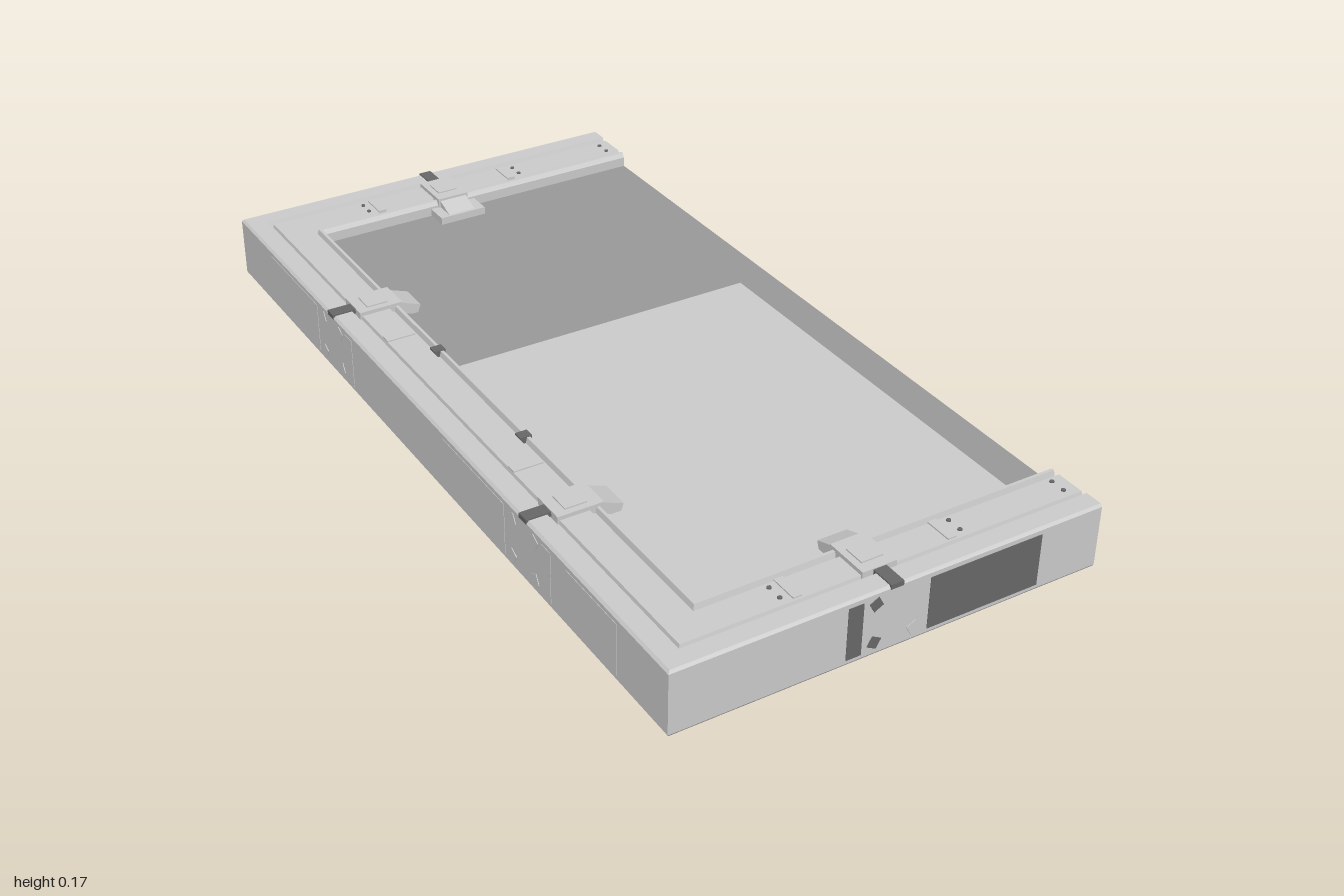
import * as THREE from 'three';

const paint = (color = 0xcccccc) => new THREE.MeshStandardMaterial({ color, flatShading: true, side: THREE.DoubleSide });
const grey = paint();
const shade = paint(0x999999);
const dark = paint(0x686868);

function add(parent, name, geometry, material, x = 0, y = 0, z = 0) {
  const mesh = new THREE.Mesh(geometry, material);
  mesh.name = name;
  mesh.position.set(x, y, z);
  parent.add(mesh);
  return mesh;
}
// Box given by its limits on each axis
const box = (parent, name, material, [x0, x1], [y0, y1], [z0, z1]) =>
  add(parent, name, new THREE.BoxGeometry(x1 - x0, y1 - y0, z1 - z0), material, (x0 + x1) / 2, (y0 + y1) / 2, (z0 + z1) / 2);

// Mitred three-sided rail: section points are [inward offset, height]
function railGeometry(section) {
  const stations = [[0.5, 1, 0, -1], [-0.5, 1, 1, -1], [-0.5, -1, 1, 1], [0.5, -1, 0, 1]];
  const rings = stations.map(([x, z, dx, dz]) => section.map(([d, y]) => [x + dx * d, y, z + dz * d]));
  const pos = [];
  const n = section.length;
  for (let s = 0; s < 3; s++) {
    for (let i = 0; i < n; i++) {
      const j = (i + 1) % n;
      const [a, b, c, d] = [rings[s][i], rings[s][j], rings[s + 1][j], rings[s + 1][i]];
      pos.push(...a, ...b, ...c, ...a, ...c, ...d);
    }
  }
  const caps = THREE.ShapeUtils.triangulateShape(section.map(p => new THREE.Vector2(...p)), []);
  for (const [a, b, c] of caps) {
    pos.push(...rings[0][a], ...rings[0][b], ...rings[0][c]);
    pos.push(...rings[3][a], ...rings[3][c], ...rings[3][b]);
  }
  const g = new THREE.BufferGeometry();
  g.setAttribute('position', new THREE.Float32BufferAttribute(pos, 3));
  g.computeVertexNormals();
  return g;
}

// Latch station: local +z points out of the rail, origin on its outer face
function latch(name, x, z, turn, side, labelMaterial) {
  const g = new THREE.Group();
  g.name = name;
  g.position.set(x, 0, z);
  g.rotation.y = turn;
  box(g, 'latchBody', grey, [-0.04, 0.04], [0.13, 0.163], [-0.16, -0.055]);
  box(g, 'latchStrap', dark, [-0.015, 0.015], [0.15, 0.161], [-0.055, 0.001]);
  box(g, 'latchRidge', grey, [-0.025, 0.025], [0.16, 0.166], [-0.13, -0.08]);
  const hook = box(g, 'latchHook', grey, [-0.035, 0.035], [0.125, 0.15], [-0.205, -0.15]);
  hook.rotation.x = -0.35;
  // Label plate and narrow strip on the outer face
  const span = (a, b) => [a * side, b * side].sort((p, q) => p - q);
  box(g, 'labelPlate', labelMaterial, span(0.08, 0.35), [0.02, 0.142], [-0.002, 0.001]);
  box(g, 'labelStrip', labelMaterial, span(-0.11, -0.075), [0.02, 0.142], [-0.002, 0.001]);
  // Four twisted square bolts
  for (const sx of [-1, 1]) {
    for (const y of [0.038, 0.128]) {
      const bolt = add(g, 'bolt', new THREE.BoxGeometry(0.024, 0.024, 0.003), sx === -side ? labelMaterial : grey, sx * 0.046, y, 0);
      bolt.rotation.z = (y < 0.1 ? -1 : 1) * sx * -0.5;
    }
  }
  return g;
}

export function createModel() {
  const model = new THREE.Group();
  model.name = 'openFrameTray';

  // Rail with a stepped, grooved top
  const section = [
    [0.004, 0.006], [0, 0.012], [0, 0.152], [0.005, 0.158], [0.046, 0.158], [0.05, 0.146], [0.058, 0.146],
    [0.06, 0.154], [0.128, 0.154], [0.132, 0.143], [0.14, 0.143], [0.143, 0.156], [0.15, 0.156],
    [0.156, 0.145], [0.156, 0.006], [0.15, 0], [0.055, 0], [0.05, 0.006],
  ];
  add(model, 'rail', railGeometry(section), grey);

  // Thin floor sheet, lighter overlay, and quartered underside
  const sheet = (name, mat, x0, x1, z0, z1, y, down) => {
    const m = add(model, name, new THREE.PlaneGeometry(x1 - x0, z1 - z0), mat, (x0 + x1) / 2, y, (z0 + z1) / 2);
    m.rotation.x = down ? Math.PI / 2 : -Math.PI / 2;
  };
  sheet('floorSheet', shade, -0.35, 0.5, -0.85, 0.85, 0.121, false);
  sheet('floorOverlay', grey, -0.35, 0.415, -0.16, 0.84, 0.123, false);
  for (const [x0, x1] of [[-0.35, 0], [0, 0.5]]) {
    for (const [z0, z1] of [[-0.85, 0], [0, 0.85]]) {
      sheet('floorUnderside', (x0 < 0) === (z0 < 0) ? grey : dark, x0, x1, z0, z1, 0.119, true);
    }
  }

  // Latches on the three rails
  model.add(latch('frontLatch', 0, 1, 0, 1, dark));
  model.add(latch('backLatch', 0, -1, Math.PI, -1, grey));
  for (const z of [-0.46, 0.46]) model.add(latch('sideLatch', -0.5, z, -Math.PI / 2, -1, grey));
  box(model, 'sideLabel', grey, [-0.501, -0.498], [0.02, 0.142], [0.63, 0.82]);
  box(model, 'latchTongue', grey, [-0.06, 0.06], [0.122, 0.14], [-0.85, -0.785]);

  for (const s of [-1, 1]) {
    // Corner strut under the floor with a bracket at each end
    const a = new THREE.Vector3(0.02, 0.072, 0.81 * s);
    const b = new THREE.Vector3(-0.33, 0.072, 0.45 * s);
    const dir = b.clone().sub(a);
    const bar = new THREE.CylinderGeometry(0.045, 0.045, dir.length(), 8);
    bar.rotateY(Math.PI / 8);
    const strut = add(model, 'cornerStrut', bar, grey);
    strut.position.copy(a).add(b).multiplyScalar(0.5);
    strut.quaternion.setFromUnitVectors(new THREE.Vector3(0, 1, 0), dir.normalize());
    const range = (p, q) => [p * s, q * s].sort((m, n) => m - n);
    box(model, 'sideBracket', grey, [-0.35, -0.29], [0.015, 0.1], range(0.4, 0.53));
    box(model, 'endBracket', grey, [-0.05, 0.07], [0.015, 0.1], range(0.79, 0.85));

    // Small deck pads, pins and lip studs
    for (const x of [-0.18, 0.18]) box(model, 'deckPad', grey, [x - 0.01, x + 0.01], [0.15, 0.157], range(0.87, 0.935));
    for (const x of [-0.21, 0.21, 0.47]) {
      for (const z of [0.885, 0.92]) add(model, 'deckPin', new THREE.CylinderGeometry(0.005, 0.005, 0.004, 8), dark, x, 0.155, z * s);
    }
    box(model, 'lipStud', dark, [-0.372, -0.345], [0.14, 0.158], range(0.188, 0.212));
    box(model, 'sidePad', grey, [-0.44, -0.372], [0.15, 0.157], range(0.285, 0.31));
  }
  return model;
}
